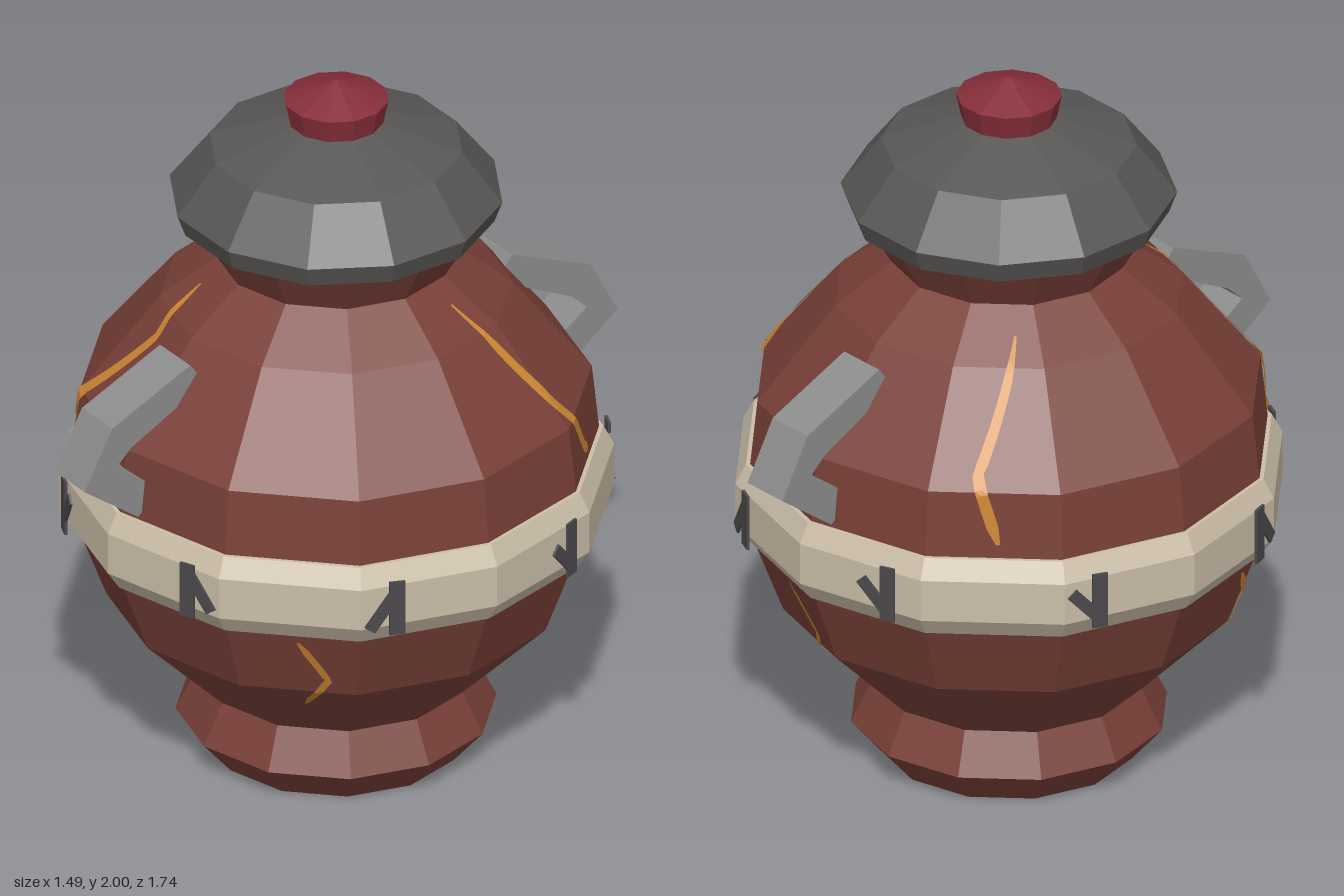
import * as THREE from 'three';

const SIDES = 12;
const STEP = (Math.PI * 2) / SIDES;
const rad = THREE.MathUtils.degToRad;

// Body profile as [radius, height], foot to rim
const BODY = [[0.345, 0], [0.43, 0.1], [0.373, 0.215], [0.615, 0.46], [0.695, 0.675], [0.705, 0.9],
  [0.685, 1.09], [0.472, 1.36], [0.32, 1.475], [0.4, 1.615]];

function faceted(geometry) {
  const g = geometry.index ? geometry.toNonIndexed() : geometry;
  g.computeVertexNormals();
  return g;
}

function turned(profile, turn = 0) {
  const points = profile.map(([r, y]) => new THREE.Vector2(r, y));
  return faceted(new THREE.LatheGeometry(points, SIDES, turn));
}

// Point just above the faceted body at an azimuth (from +z towards +x) and height
function onBody(azimuth, y, lift) {
  let i = 0;
  while (i < BODY.length - 2 && BODY[i + 1][1] < y) i++;
  const [r0, y0] = BODY[i], [r1, y1] = BODY[i + 1];
  const radius = r0 + ((r1 - r0) * (y - y0)) / (y1 - y0);
  const local = THREE.MathUtils.euclideanModulo(azimuth, STEP) - STEP / 2;
  const r = (radius * Math.cos(STEP / 2)) / Math.cos(local) + lift;
  return [r * Math.sin(azimuth), y, r * Math.cos(azimuth)];
}

// Tapered ribbon hugging the body along [degrees, height] points
function crackGeometry(path, width) {
  const per = 12, count = (path.length - 1) * per;
  const positions = [], index = [];
  for (let i = 0; i <= count; i++) {
    const s = Math.min(Math.floor(i / per), path.length - 2);
    const t = i / per - s;
    const [a0, y0] = path[s], [a1, y1] = path[s + 1];
    const azimuth = rad(a0 + (a1 - a0) * t), y = y0 + (y1 - y0) * t;
    const du = rad(a1 - a0) * 0.62, dy = y1 - y0, length = Math.hypot(du, dy);
    const half = (width / 2) * Math.min(1, 0.35 + 5 * Math.min(i, count - i) / count);
    for (const side of [-1, 0, 1]) {
      const k = (side * half) / length;
      positions.push(...onBody(azimuth + (k * dy) / 0.62, y - k * du, 0.007));
    }
    if (i < count) {
      for (let j = 0; j < 2; j++) {
        const a = i * 3 + j;
        index.push(a, a + 1, a + 3, a + 1, a + 4, a + 3);
      }
    }
  }
  const g = new THREE.BufferGeometry();
  g.setAttribute('position', new THREE.Float32BufferAttribute(positions, 3));
  g.setIndex(index);
  return faceted(g);
}

export function createModel() {
  const model = new THREE.Group();
  model.name = 'lidded urn';

  const material = (name, color) => {
    const m = new THREE.MeshStandardMaterial({ color });
    m.name = name;
    return m;
  };
  const clay = material('red clay', 0x794038);
  const slate = material('lid grey', 0x595755);
  const crimson = material('knob crimson', 0x862e39);
  const cream = material('band cream', 0xcbbea8);
  const steel = material('handle grey', 0x8c8c8c);
  const ink = material('mark charcoal', 0x4b494b);
  const amber = material('crack amber', 0xcb8632);
  amber.side = THREE.DoubleSide;

  const add = (name, geometry, mat, parent = model) => {
    const mesh = new THREE.Mesh(geometry, mat);
    mesh.name = name;
    parent.add(mesh);
    return mesh;
  };

  // Turned parts; lid and knob sit half a facet round
  add('body', turned([[0, 0], ...BODY, [0, 1.615]]), clay);
  add('band', turned([[0.68, 0.675], [0.708, 0.675], [0.745, 0.73], [0.745, 0.85], [0.716, 0.905], [0.68, 0.905]]), cream);
  add('lid', turned([[0, 1.605], [0.428, 1.605], [0.45, 1.665], [0.342, 1.805], [0.13, 1.878], [0, 1.878]], STEP / 2), slate);
  add('knob', turned([[0, 1.87], [0.126, 1.87], [0.142, 1.945], [0, 2]], STEP / 2), crimson);

  // Bent handles, front and back; outline in (z, y)
  const outline = new THREE.Shape([[0.525, 1.326], [0.475, 1.26], [0.72, 1.135], [0.77, 1.088],
    [0.62, 0.985], [0.695, 0.918], [0.87, 1.05], [0.78, 1.215]].map(([z, y]) => new THREE.Vector2(z, y)));
  const handle = new THREE.ExtrudeGeometry(outline, { depth: 0.14, bevelEnabled: false });
  handle.rotateY(-Math.PI / 2).translate(0.07, 0, 0);
  const handleGeometry = faceted(handle);
  add('frontHandle', handleGeometry, steel);
  add('backHandle', handleGeometry, steel).rotation.y = Math.PI;

  // Eight carved marks round the band: a stem and one branch [x0, y0, x1, y1]
  const upRight = [0, -0.04, 0.075, 0.06], downRight = [0, 0.06, 0.075, -0.045];
  const upLeft = [0, -0.055, -0.078, 0.03], downLeft = [0, 0.05, -0.075, -0.06];
  const branches = [downRight, downLeft, upLeft, downLeft, upLeft, upLeft, downRight, upRight];
  branches.forEach(([x0, y0, x1, y1], i) => {
    const mark = new THREE.Group();
    mark.name = 'bandMark';
    mark.rotation.y = rad(22.5 + 45 * i);
    model.add(mark);
    add('markStem', new THREE.BoxGeometry(0.043, 0.16, 0.008), ink, mark).position.set(0, 0.79, 0.743);
    const branch = add('markBranch', new THREE.BoxGeometry(0.034, Math.hypot(x1 - x0, y1 - y0), 0.007), ink, mark);
    branch.position.set((x0 + x1) / 2, 0.79 + (y0 + y1) / 2, 0.743);
    branch.rotation.z = Math.atan2(y1 - y0, x1 - x0) - Math.PI / 2;
  });

  // Glowing cracks above and below the band
  const upper = [
    [[-20, 1.43], [-16.5, 1.305], [-35, 0.975], [-31, 0.945]],
    [[110, 1.43], [121, 1.15], [131, 0.97], [134, 0.945]],
    [[231, 1.42], [221, 1.13], [226, 0.945]],
  ];
  const lower = [
    [[46, 0.645], [53, 0.51], [46, 0.385]],
    [[167, 0.645], [174, 0.51], [168, 0.385]],
    [[-65, 0.645], [-57, 0.515], [-64, 0.385]],
  ];
  for (const path of upper) add('upperCrack', crackGeometry(path, 0.03), amber);
  for (const path of lower) add('lowerCrack', crackGeometry(path, 0.02), amber);

  return model;
}
